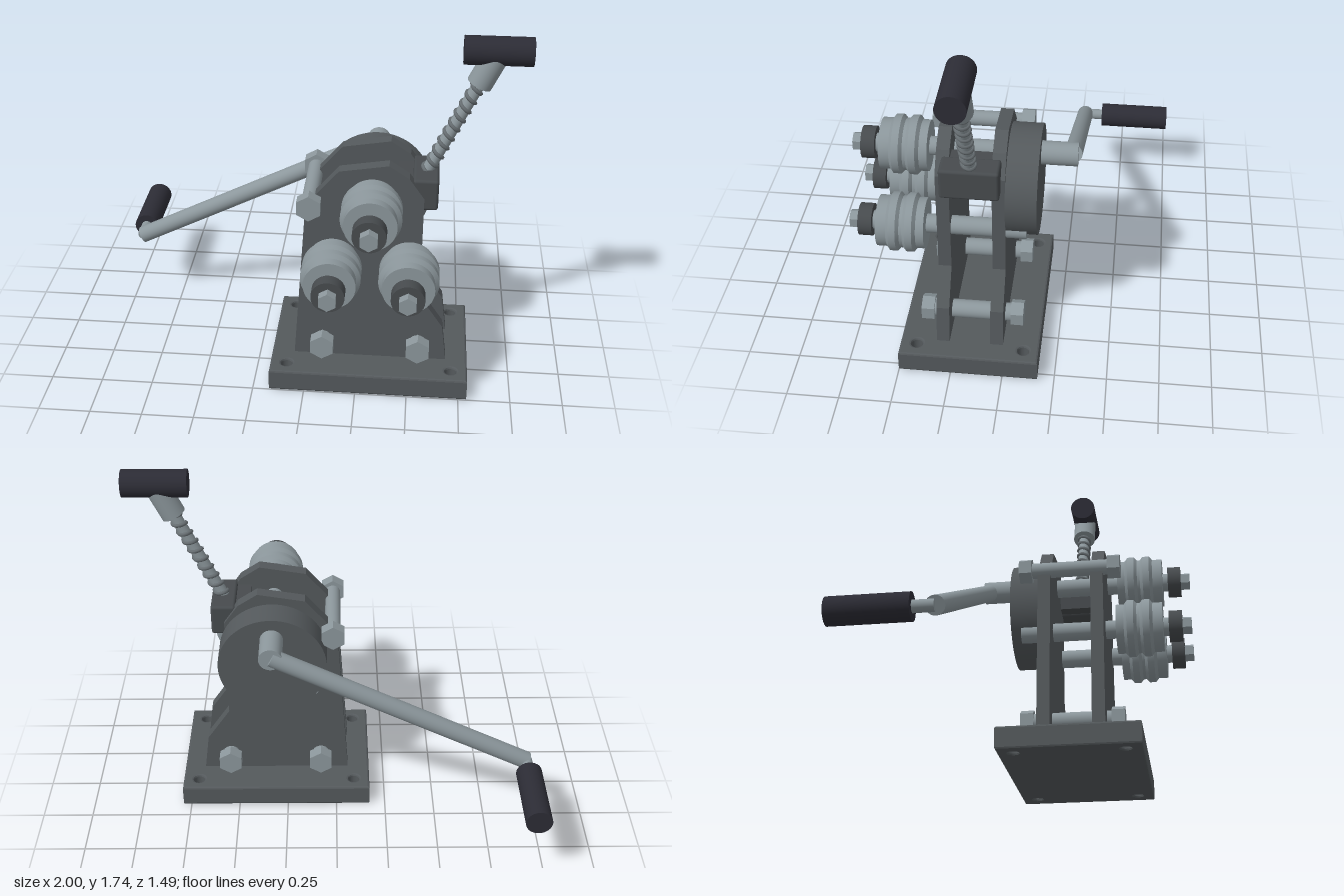
import * as THREE from 'three';
import { RoundedBoxGeometry } from 'three/addons/geometries/RoundedBoxGeometry.js';
import { toCreasedNormals } from 'three/addons/utils/BufferGeometryUtils.js';

const mat = (name, color) => {
  const m = new THREE.MeshStandardMaterial({ color });
  m.name = name;
  return m;
};
const V = (x, y, z) => new THREE.Vector3(x, y, z);

export function createModel() {
  const iron = mat('castIron', 0x54595c);
  const darkIron = mat('darkIron', 0x474b4e);
  const steel = mat('steel', 0x8c979c);
  const threadSteel = mat('threadSteel', 0x686f73);
  const rubber = mat('blackGrip', 0x2c2c35);

  const model = new THREE.Group();
  model.name = 'handCrankRollBender';

  const add = (name, geometry, material, parent = model) => {
    const mesh = new THREE.Mesh(geometry, material);
    mesh.name = name;
    parent.add(mesh);
    return mesh;
  };
  // Cylinder (or prism) between two points
  const rod = (name, a, b, r, material, sides = 32, parent = model) => {
    const mesh = add(name, new THREE.CylinderGeometry(r, r, a.distanceTo(b), sides), material, parent);
    if (sides <= 8) mesh.geometry = toCreasedNormals(mesh.geometry, 0.5);
    mesh.position.copy(a).lerp(b, 0.5);
    mesh.quaternion.setFromUnitVectors(V(0, 1, 0), b.clone().sub(a).normalize());
    return mesh;
  };
  // Rod or hex prism running along z
  const zRod = (name, x, y, z0, z1, r, material, sides = 32, parent = model) =>
    rod(name, V(x, y, z0), V(x, y, z1), r, material, sides, parent);

  // Base plate with four mounting holes
  const bevel = 0.01;
  const base = new THREE.Shape();
  base.moveTo(-0.17, -0.5).lineTo(0.79, -0.5).lineTo(0.79, 0.17).lineTo(-0.17, 0.17).closePath();
  for (const x of [-0.09, 0.71]) {
    for (const z of [-0.095, 0.42]) {
      const hole = new THREE.Path();
      hole.absarc(x, -z, 0.028, 0, Math.PI * 2, true);
      base.holes.push(hole);
    }
  }
  const baseGeo = new THREE.ExtrudeGeometry(base, {
    depth: 0.11 - 2 * bevel, bevelSize: bevel, bevelThickness: bevel,
    bevelOffset: -bevel, bevelSegments: 2, curveSegments: 20,
  });
  baseGeo.rotateX(-Math.PI / 2).translate(0, bevel, 0);
  add('basePlate', baseGeo, iron);

  // Two upright side plates
  const outline = [
    [-0.06, 0.105], [0.685, 0.105], [0.66, 0.3], [0.545, 0.47], [0.545, 1.0],
    [0.475, 1.1], [0.38, 1.163], [0.15, 1.125], [-0.005, 0.945],
  ].map(([x, y]) => new THREE.Vector2(x, y));
  const plateGeo = new THREE.ExtrudeGeometry(new THREE.Shape(outline), { depth: 0.062, bevelEnabled: false });
  add('frontSidePlate', plateGeo, iron).position.z = 0.265;
  add('backSidePlate', plateGeo, iron).position.z = 0.006;

  // Tie bolts with hex heads
  const tieBolts = [['lowerRightTie', 0.08, 0.2], ['lowerLeftTie', 0.545, 0.2], ['upperTie', 0.016, 0.968]];
  for (const [name, x, y] of tieBolts) {
    const g = new THREE.Group();
    g.name = name;
    model.add(g);
    zRod('tieRod', x, y, -0.03, 0.36, name === 'upperTie' ? 0.038 : 0.044, steel, 32, g);
    zRod('frontHexHead', x, y, 0.35, 0.412, 0.064, steel, 6, g);
    zRod('backHexHead', x, y, -0.083, -0.021, 0.064, steel, 6, g);
  }

  // Grooved rollers on their shafts
  const profile = [
    [0.03, 0.382], [0.121, 0.382], [0.121, 0.42], [0.14, 0.435], [0.14, 0.468], [0.123, 0.483],
    [0.123, 0.497], [0.14, 0.512], [0.14, 0.545], [0.121, 0.56], [0.121, 0.608], [0.03, 0.608],
  ].map(([r, z]) => new THREE.Vector2(r, z));
  const rollerGeo = toCreasedNormals(new THREE.LatheGeometry(profile, 40).rotateX(Math.PI / 2), 0.5);
  const rollers = [['upperRoller', 0.31, 1.0], ['lowerRightRoller', 0.13, 0.68], ['lowerLeftRoller', 0.49, 0.68]];
  for (const [name, x, y] of rollers) {
    const g = new THREE.Group();
    g.name = name;
    g.position.set(x, y, 0);
    model.add(g);
    add('groovedRoller', rollerGeo, steel, g);
    zRod('shaft', 0, 0, -0.09, 0.64, 0.045, steel, 32, g);
    zRod('retainingCollar', 0, 0, 0.635, 0.7, 0.077, darkIron, 32, g);
    zRod('hexEnd', 0, 0, 0.7, 0.745, 0.045, steel, 6, g);
  }

  // Gear housing behind the back plate
  zRod('gearHousing', 0.31, 0.845, -0.14, 0.006, 0.264, iron, 64);

  // Crank
  const crankZ = -0.285;
  zRod('crankShaft', 0.31, 1.0, -0.31, -0.13, 0.056, steel);
  rod('crankArm', V(-0.938, 0.378, crankZ), V(0.31, 1.0, crankZ), 0.043, steel);
  zRod('crankPin', -0.938, 0.378, -0.39, crankZ, 0.028, steel);
  zRod('crankGrip', -0.938, 0.378, -0.745, -0.38, 0.063, rubber);

  // Pressure block at the top left of the frame
  const block = add('pressureBlock', new RoundedBoxGeometry(0.12, 0.155, 0.275, 2, 0.014), darkIron);
  block.position.set(0.55, 1.003, 0.1635);
  const slide = add('pressureSlide', new THREE.BoxGeometry(0.1, 0.13, 0.198), darkIron);
  slide.position.set(0.47, 1.0, 0.165);

  // Leaning pressure screw with helical thread, sleeve and cross grip
  const foot = V(0.54, 1.04, 0.165);
  const top = V(0.845, 1.677, 0.165);
  const screw = new THREE.Group();
  screw.name = 'pressureScrew';
  screw.position.copy(foot);
  screw.quaternion.setFromUnitVectors(V(0, 1, 0), top.clone().sub(foot).normalize());
  model.add(screw);
  const length = foot.distanceTo(top);
  rod('screwCore', V(0, 0, 0), V(0, length - 0.1, 0), 0.029, steel, 24, screw);
  const turns = 10;
  const helix = [];
  for (let i = 0; i <= turns * 12; i++) {
    const a = (i / 12) * Math.PI * 2;
    helix.push(V(Math.cos(a) * 0.029, 0.02 + (i / 12) * 0.052, Math.sin(a) * 0.029));
  }
  add('screwThread', new THREE.TubeGeometry(new THREE.CatmullRomCurve3(helix), turns * 24, 0.01, 6), threadSteel, screw);
  rod('gripSleeve', V(0, length - 0.18, 0), V(0, length, 0), 0.059, steel, 32, screw);
  rod('crossGrip', V(0.69, 1.677, 0.165), V(1.0, 1.677, 0.165), 0.066, rubber);

  return model;
}
